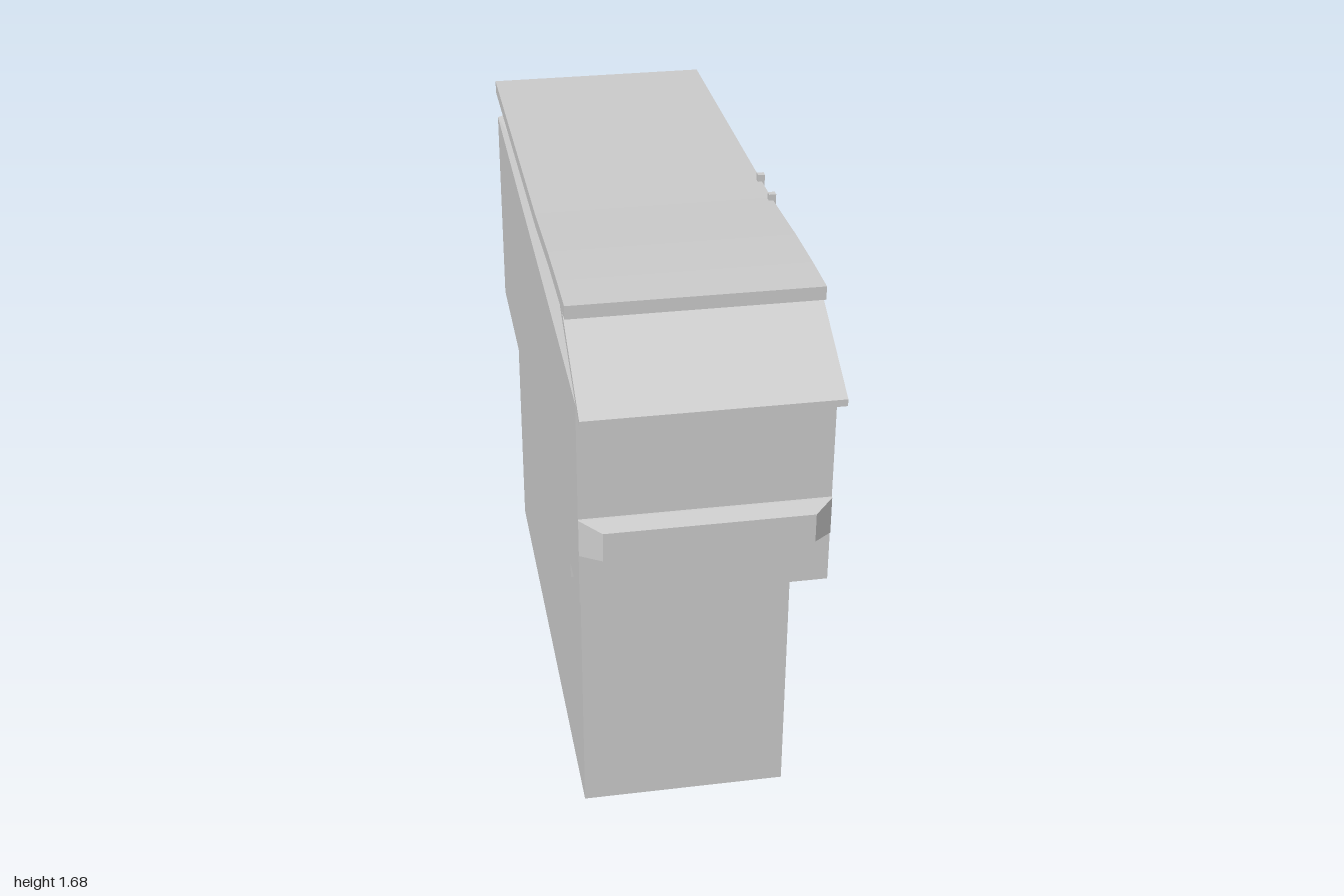
import * as THREE from 'three';
import { ConvexGeometry } from 'three/addons/geometries/ConvexGeometry.js';

export function createModel() {
  const model = new THREE.Group();
  const mat = new THREE.MeshStandardMaterial({ color: 0xcccccc, flatShading: true });

  const add = (name, geometry, parent = model) => {
    const mesh = new THREE.Mesh(geometry, mat);
    mesh.name = name;
    parent.add(mesh);
    return mesh;
  };
  const group = (name) => {
    const g = new THREE.Group();
    g.name = name;
    model.add(g);
    return g;
  };
  // Side profile given as [z, y] points, extruded from x0 to x1; holes are [z0, z1, y0, y1]
  const profile = (points, x0, x1, holes = []) => {
    const shape = new THREE.Shape(points.map(([z, y]) => new THREE.Vector2(-z, y)));
    for (const [a, b, c, d] of holes) {
      shape.holes.push(new THREE.Path([[a, c], [a, d], [b, d], [b, c]].map(([z, y]) => new THREE.Vector2(-z, y))));
    }
    return new THREE.ExtrudeGeometry(shape, { depth: x1 - x0, bevelEnabled: false })
      .rotateY(Math.PI / 2).translate(x0, 0, 0);
  };
  const panel = (z0, z1, y0, y1, x0, x1, holes) =>
    profile([[z0, y0], [z1, y0], [z1, y1], [z0, y1]], x0, x1, holes);
  const hull = (points) => new ConvexGeometry(points.map((p) => new THREE.Vector3(...p)));
  // Straight bar between two [z, y] points
  const bar = (a, b, width, x0, x1) => {
    const dz = b[0] - a[0], dy = b[1] - a[1];
    const g = new THREE.BoxGeometry(x1 - x0, Math.hypot(dz, dy), width);
    return g.rotateX(Math.atan2(dz, dy)).translate((x0 + x1) / 2, (a[1] + b[1]) / 2, (a[0] + b[0]) / 2);
  };

  // Ground floor with a slightly sloping base
  add('groundFloor', profile([[0.665, 0.025], [-0.935, 0], [-0.935, 0.85], [0.665, 0.85]], -0.305, 0.28));

  // Flared transition under the upper floor
  const flare = [];
  for (const [x0, x1, z0, z1, y] of [[-0.305, 0.28, -0.935, 0.665, 0.845], [-0.34, 0.312, -0.965, 0.75, 0.876]]) {
    for (const x of [x0, x1]) for (const z of [z0, z1]) flare.push([x, y, z]);
  }
  add('floorFlare', hull(flare));

  // Upper floor, with a raised underside on the front overhang
  add('upperFloor', profile([[0.93, 0.92], [0.75, 0.92], [0.75, 0.875], [-0.965, 0.875], [-0.965, 1.505], [0.93, 1.505]], -0.34, 0.312));

  // Hipped attic below the roof
  const attic = [];
  for (const [x0, x1, points] of [
    [-0.34, 0.312, [[0.93, 1.505], [-0.965, 1.505]]],
    [-0.24, 0.212, [[0.69, 1.63], [0.46, 1.635], [-0.85, 1.582]]],
  ]) {
    for (const x of [x0, x1]) for (const [z, y] of points) attic.push([x, y, z]);
  }
  add('attic', hull(attic));

  // Bent roof slab and front visor
  add('roof', profile([[0.75, 1.643], [0.41, 1.632], [0.115, 1.607], [-1, 1.576],
    [-1, 1.614], [0.115, 1.645], [0.41, 1.668], [0.6, 1.677], [0.75, 1.68]], -0.34, 0.32));
  add('frontVisor', profile([[1, 1.478], [0.66, 1.638], [0.7, 1.645], [1, 1.497]], -0.34, 0.32));

  // Tapered ledge on the front wall
  const ledge = [];
  for (const [x0, x1, y0, y1, z] of [[-0.34, 0.312, 1.065, 1.175, 0.92], [-0.34, 0.312, 1.067, 1.173, 0.935], [-0.285, 0.26, 1.078, 1.16, 0.985]]) {
    for (const x of [x0, x1]) for (const y of [y0, y1]) ledge.push([x, y, z]);
  }
  add('frontLedge', hull(ledge));

  // Balcony slab and railing
  const balcony = group('balcony');
  add('balconySlab', panel(0.75, -0.985, 0.878, 0.912, 0.28, 0.318), balcony);
  const gaps = [];
  const count = 25, pitch = 1.715 / count;
  for (let i = 0; i < count; i++) {
    const z = 0.737 - i * pitch;
    gaps.push([z, z - pitch + 0.018, 0.92, 1.16]);
  }
  add('railing', panel(0.747, -0.985, 0.9, 1.178, 0.311, 0.325, gaps), balcony);

  // Upper shutter with two slits
  add('slitPanel', panel(0.46, 0.2, 1.2, 1.5, 0.3, 0.322, [[0.395, 0.365, 1.22, 1.42], [0.295, 0.262, 1.22, 1.42]]));

  // Upper window grille
  const columns = [[-0.308, -0.333], [-0.345, -0.378], [-0.394, -0.448], [-0.468, -0.52],
    [-0.54, -0.594], [-0.612, -0.666], [-0.684, -0.726], [-0.738, -0.764]];
  add('upperWindow', panel(-0.302, -0.77, 1.183, 1.45, 0.305, 0.336,
    columns.flatMap(([a, b]) => [[a, b, 1.193, 1.385], [a, b, 1.403, 1.443]])));

  // Lower window, the middle column closed in its lower half
  const rows = [[0.7, 0.778], [0.642, 0.682], [0.568, 0.625], [0.495, 0.55], [0.412, 0.48]];
  const panes = [];
  [[-0.5, -0.565], [-0.59, -0.68], [-0.7, -0.774]].forEach(([a, b], c) => {
    rows.forEach(([y0, y1], r) => { if (c !== 1 || r < 3) panes.push([a, b, y0, y1]); });
  });
  add('lowerWindow', panel(-0.488, -0.78, 0.405, 0.785, 0.27, 0.305, panes));

  // Doors and pole
  add('garageDoor', panel(0.555, 0.06, 0.03, 0.755, 0.27, 0.293));
  add('sideDoor', panel(-0.05, -0.3, 0.02, 0.6, 0.27, 0.306));
  add('pole', panel(0.037, 0.01, 0.016, 0.83, 0.27, 0.31));

  // Ladder to the roof
  const ladder = group('ladder');
  add('ladderRailFront', bar([0.118, 1.18], [0.133, 1.665], 0.018, 0.308, 0.328), ladder);
  add('ladderRailBack', bar([-0.02, 1.18], [-0.012, 1.662], 0.018, 0.308, 0.328), ladder);
  for (const y of [1.195, 1.322, 1.44, 1.545, 1.596]) {
    add('ladderRung', bar([0.125, y], [-0.015, y + 0.004], 0.014, 0.31, 0.325), ladder);
  }
  add('ladderStrut', bar([0.06, 1.505], [0.095, 1.6], 0.012, 0.31, 0.322), ladder);

  return model;
}
